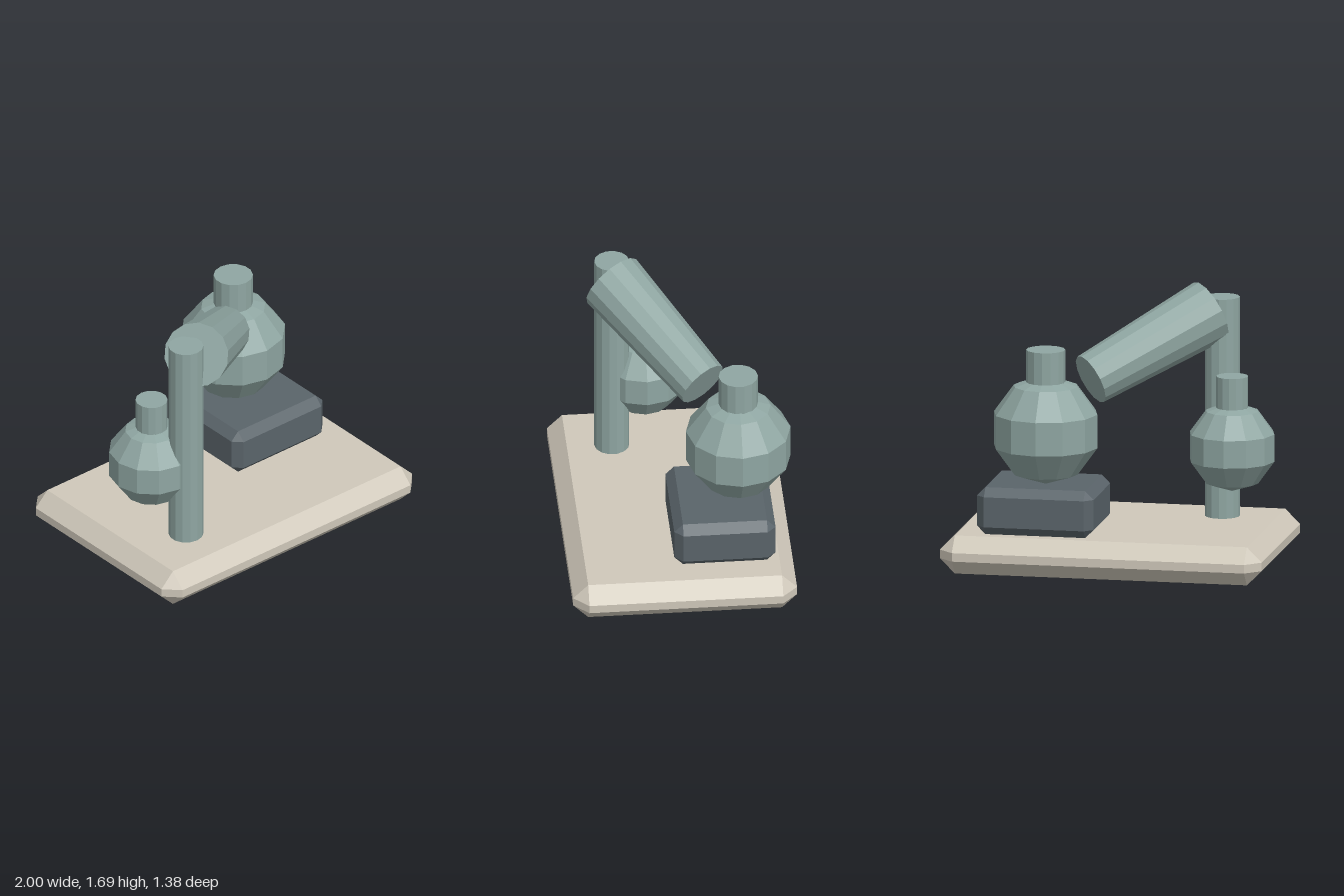
import * as THREE from 'three';
import { ConvexGeometry } from 'three/addons/geometries/ConvexGeometry.js';

const material = (name, color) => {
  const m = new THREE.MeshStandardMaterial({ color, flatShading: true });
  m.name = name;
  return m;
};

// Box with every edge cut at 45 degrees
function chamferBox(w, h, d, c) {
  const pts = [];
  for (const x of [-w / 2, w / 2])
    for (const y of [-h / 2, h / 2])
      for (const z of [-d / 2, d / 2]) {
        const ix = x - Math.sign(x) * c, iy = y - Math.sign(y) * c, iz = z - Math.sign(z) * c;
        pts.push(new THREE.Vector3(x, iy, iz), new THREE.Vector3(ix, y, iz), new THREE.Vector3(ix, iy, z));
      }
  return new ConvexGeometry(pts);
}

export function createModel() {
  const model = new THREE.Group();
  const stone = material('pale stone', 0xcfc8ba);
  const dark = material('dark slate', 0x5a646a);
  const glass = material('grey green', 0x8fa6a2);

  const add = (parent, name, geometry, mat, x, y, z) => {
    const mesh = new THREE.Mesh(geometry, mat);
    mesh.name = name;
    mesh.position.set(x, y, z);
    parent.add(mesh);
    return mesh;
  };

  // Base slab and heater block
  add(model, 'base', chamferBox(2, 0.237, 1.37, 0.092), stone, 0, 0.1185, 0);
  add(model, 'heater', chamferBox(0.725, 0.293, 0.62, 0.053), dark, 0.423, 0.3825, -0.259);

  // Upright post
  add(model, 'post', new THREE.CylinderGeometry(0.107, 0.107, 1.37, 14), glass, -0.572, 0.915, 0.318);

  // Tapered condenser tube, sloping from the post down to the large flask
  const high = new THREE.Vector3(-0.495, 1.505, 0.325);
  const low = new THREE.Vector3(0.147, 1.155, -0.175);
  const axis = high.clone().sub(low);
  const mid = high.clone().add(low).multiplyScalar(0.5);
  const tube = add(model, 'condenser', new THREE.CylinderGeometry(0.2, 0.16, axis.length(), 14), glass, mid.x, mid.y, mid.z);
  tube.quaternion.setFromUnitVectors(new THREE.Vector3(0, 1, 0), axis.normalize());

  // Flasks: faceted bulb with a straight neck
  const flask = (name, x, y, z, r, neckR, top) => {
    const g = new THREE.Group();
    g.name = name;
    g.position.set(x, y, z);
    add(g, 'bulb', new THREE.SphereGeometry(r, 12, 5), glass, 0, 0, 0);
    const from = r * 0.7, to = top - y;
    add(g, 'neck', new THREE.CylinderGeometry(neckR, neckR, to - from, 14), glass, 0, (from + to) / 2, 0);
    model.add(g);
  };
  flask('boilingFlask', 0.387, 0.872, -0.371, 0.337, 0.12, 1.37);
  flask('receivingFlask', -0.674, 0.711, 0.114, 0.276, 0.098, 1.15);

  return model;
}
